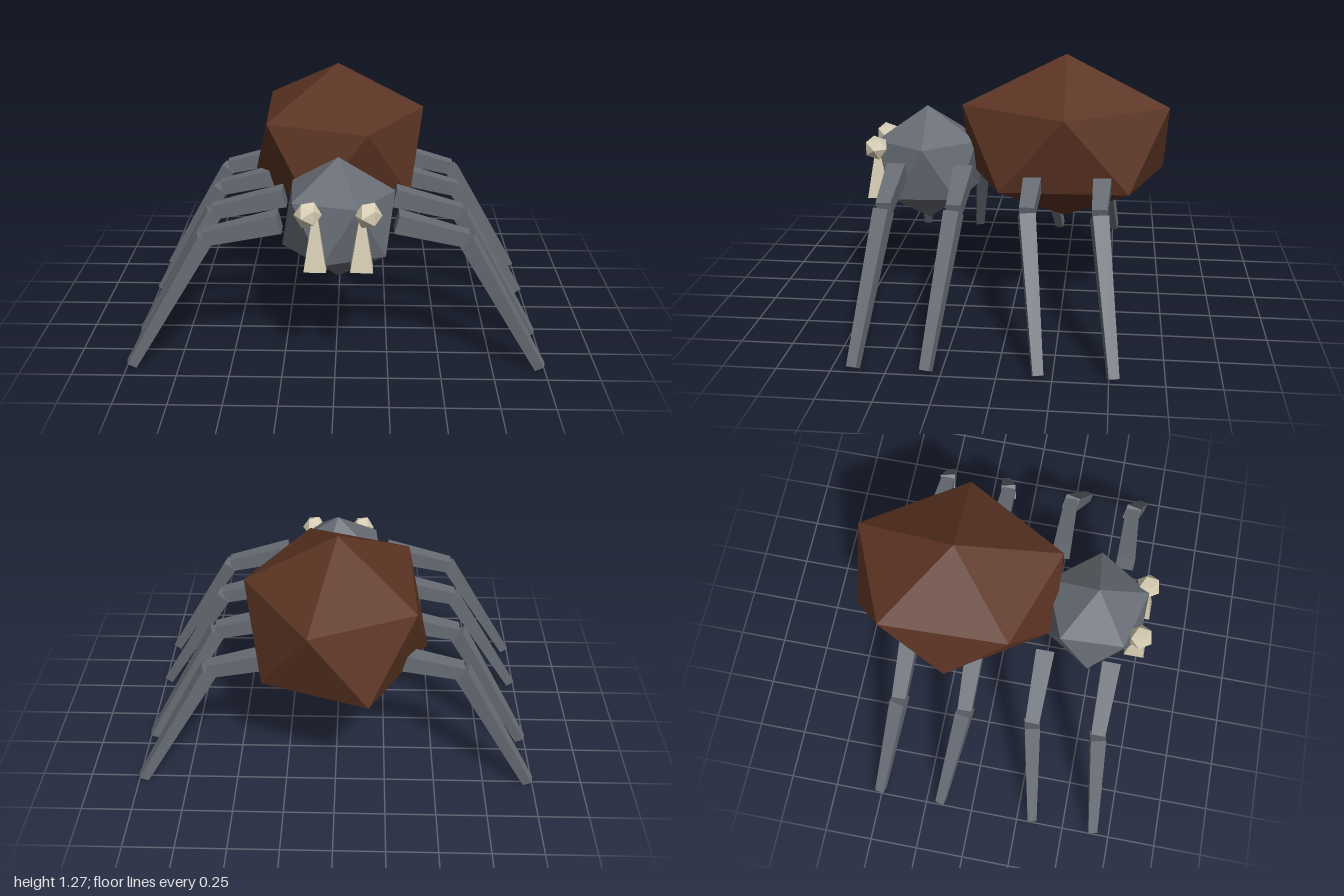
import * as THREE from 'three';
import { ConvexGeometry } from 'three/addons/geometries/ConvexGeometry.js';

const flat = (name, color) => {
  const m = new THREE.MeshStandardMaterial({ color, flatShading: true });
  m.name = name;
  return m;
};

// Icosahedron standing on a corner, with two rings of five corners
function icoGeometry() {
  const pts = [new THREE.Vector3(0, 1, 0), new THREE.Vector3(0, -1, 0)];
  const y = Math.sqrt(0.2), r = 2 * y;
  for (let i = 0; i < 5; i++) {
    const a = (i / 5) * Math.PI * 2;
    pts.push(new THREE.Vector3(r * Math.cos(a), y, r * Math.sin(a)));
    pts.push(new THREE.Vector3(-r * Math.cos(a), -y, r * Math.sin(a)));
  }
  return new ConvexGeometry(pts);
}

// Square bar that tapers from width w0 at a to width w1 at b
function taperedBar(name, a, b, w0, w1, material) {
  const from = new THREE.Vector3(...a), to = new THREE.Vector3(...b);
  const geo = new THREE.CylinderGeometry(w1 / Math.SQRT2, w0 / Math.SQRT2, from.distanceTo(to), 4);
  geo.rotateY(Math.PI / 4).rotateX(Math.PI / 2);
  const mesh = new THREE.Mesh(geo, material);
  mesh.name = name;
  mesh.position.copy(from).add(to).multiplyScalar(0.5);
  mesh.lookAt(to);
  return mesh;
}

export function createModel() {
  const model = new THREE.Group();
  model.name = 'spider';
  const brown = flat('brown', 0x5c3423);
  const grey = flat('grey', 0x686d75);
  const cream = flat('cream', 0xd8ceb5);
  const ico = icoGeometry();

  const ball = (name, material, pos, scale, rot) => {
    const mesh = new THREE.Mesh(ico, material);
    mesh.name = name;
    mesh.position.set(...pos);
    mesh.scale.set(...scale);
    mesh.rotation.set(...rot);
    model.add(mesh);
  };

  // Abdomen and head
  ball('abdomen', brown, [-0.005, 0.85, -0.247], [0.5, 0.425, 0.6], [0, 0.03, 0]);
  ball('head', grey, [0.01, 0.698, 0.458], [0.3, 0.302, 0.3], [0, 0.05, 0]);

  // Eyes and fangs
  for (const [side, eyeX, fangX] of [['left', 0.15, 0.122], ['right', -0.122, -0.09]]) {
    ball(side + 'Eye', cream, [eyeX, 0.808, 0.7], [0.064, 0.064, 0.064], [0.3, 0, Math.PI / 2]);
    const fang = new THREE.Mesh(
      new THREE.CylinderGeometry(0.02, 0.073, 0.235, 4).rotateY(Math.PI / 4), cream);
    fang.name = side + 'Fang';
    fang.position.set(fangX, 0.663, 0.698);
    model.add(fang);
  }

  // Four pairs of legs: hip, knee and foot positions along z
  const rows = [[0.57, 0.567, 0.65], [0.237, 0.237, 0.318], [-0.11, -0.103, -0.185], [-0.445, -0.437, -0.52]];
  for (const s of [1, -1]) {
    const shift = s < 0 ? 0.012 : 0;
    rows.forEach(([hip, knee, foot], i) => {
      const leg = new THREE.Group();
      leg.name = (s > 0 ? 'left' : 'right') + 'Leg' + (i + 1);
      const hipX = s > 0 ? 0.282 : -0.258;
      leg.add(taperedBar('upperLeg', [hipX, 0.728, hip + shift], [s * 0.612, 0.644, knee + shift], 0.092, 0.07, grey));
      leg.add(taperedBar('lowerLeg', [s * 0.612, 0.64, knee + shift], [s * 0.978, 0.014, foot + shift], 0.076, 0.048, grey));
      model.add(leg);
    });
  }
  return model;
}
